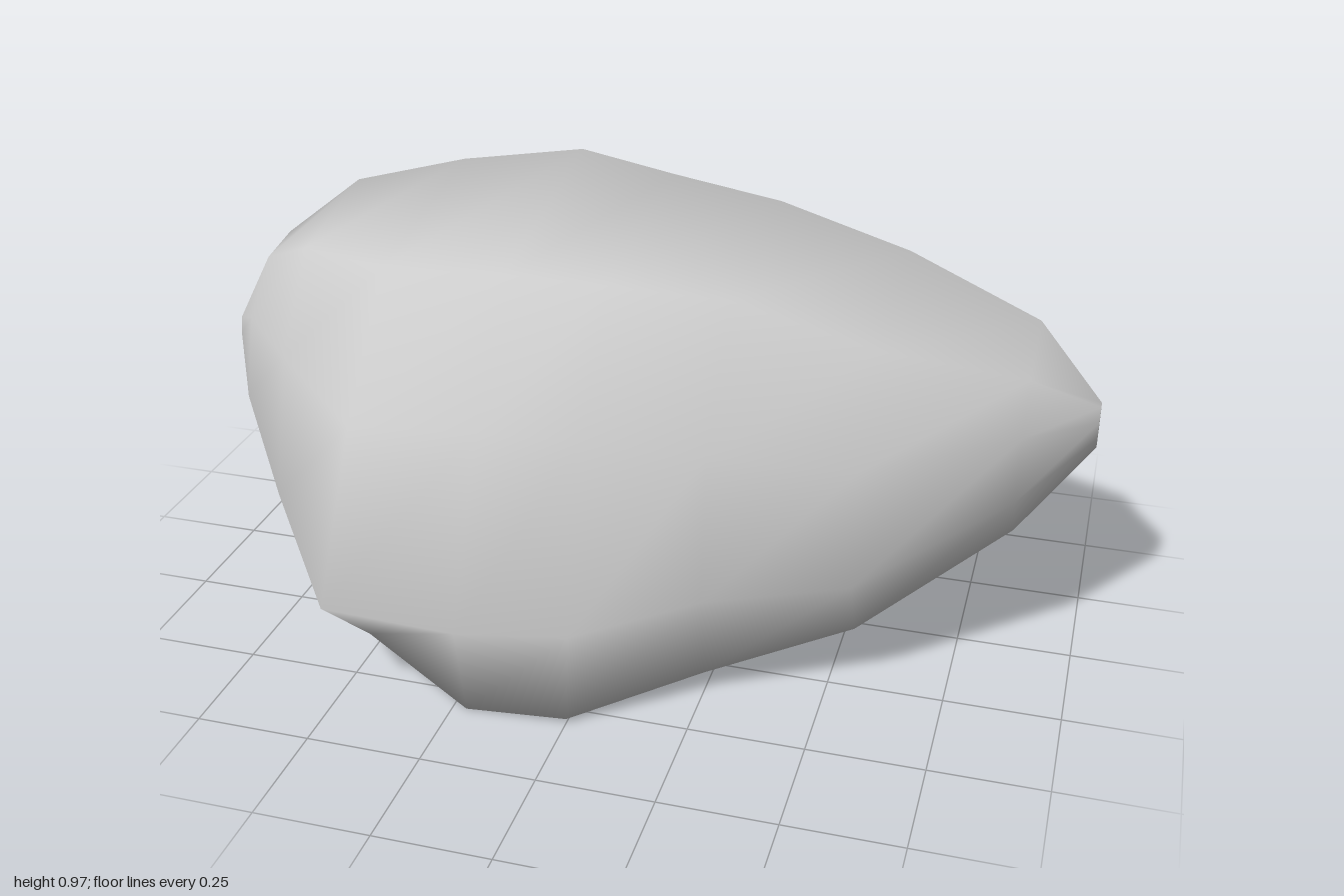
import * as THREE from 'three';

const SIDES = 8;

// Small rounded end ring, as [z, y] pairs in the same order as the sections
const endRing = (z, y, rz, ry) => Array.from({ length: SIDES }, (_, i) => {
  const a = (-60 + i * 45) * Math.PI / 180;
  return [z + rz * Math.cos(a), y + ry * Math.sin(a)];
});

// Cross-sections along x. Each ring runs: lower front, front bulge, upper front,
// top front, back ridge, upper back, back bulge, lower back.
const sections = [
  [-1, endRing(-0.12, 0.535, 0.08, 0.05)],
  [-0.93, [[-0.02, 0.33], [0.08, 0.42], [0.03, 0.6], [-0.08, 0.71], [-0.2, 0.73], [-0.28, 0.62], [-0.3, 0.48], [-0.2, 0.32]]],
  [-0.74, [[0.16, 0.19], [0.33, 0.32], [0.25, 0.62], [0.1, 0.82], [-0.2, 0.88], [-0.38, 0.68], [-0.45, 0.42], [-0.3, 0.15]]],
  [-0.5, [[0.42, 0.05], [0.64, 0.25], [0.45, 0.58], [0.23, 0.85], [-0.27, 0.93], [-0.48, 0.66], [-0.54, 0.38], [-0.36, 0.06]]],
  [-0.22, [[0.56, 0], [0.61, 0.22], [0.44, 0.6], [0.24, 0.87], [-0.3, 0.97], [-0.53, 0.6], [-0.64, 0.34], [-0.38, 0.05]]],
  [0, [[0.55, 0.01], [0.53, 0.2], [0.42, 0.6], [0.24, 0.87], [-0.3, 0.93], [-0.54, 0.6], [-0.62, 0.34], [-0.38, 0.05]]],
  [0.25, [[0.36, 0.05], [0.4, 0.25], [0.38, 0.58], [0.2, 0.85], [-0.3, 0.89], [-0.52, 0.6], [-0.59, 0.36], [-0.38, 0.06]]],
  [0.55, [[0.24, 0.14], [0.32, 0.29], [0.32, 0.56], [0.12, 0.74], [-0.28, 0.81], [-0.46, 0.62], [-0.53, 0.38], [-0.36, 0.1]]],
  [0.85, [[0.02, 0.31], [0.1, 0.42], [0.06, 0.55], [-0.04, 0.64], [-0.25, 0.69], [-0.3, 0.6], [-0.31, 0.46], [-0.2, 0.31]]],
  [1, endRing(-0.155, 0.5, 0.045, 0.05)],
];

// Skin the rings and close both ends, sharing vertices for smooth shading
function loft(rings) {
  const pos = [], index = [];
  for (const [x, ring] of rings) for (const [z, y] of ring) pos.push(x, y, z);
  const last = rings.length - 1;
  for (let i = 0; i < last; i++) {
    for (let j = 0; j < SIDES; j++) {
      const k = (j + 1) % SIDES;
      const a = i * SIDES + j, b = a + SIDES, c = (i + 1) * SIDES + k, d = i * SIDES + k;
      index.push(a, b, c, a, c, d);
    }
  }
  for (const i of [0, last]) {
    const [x, ring] = rings[i];
    const mid = pos.length / 3;
    const mean = (n) => ring.reduce((s, p) => s + p[n], 0) / SIDES;
    pos.push(x, mean(1), mean(0));
    for (let j = 0; j < SIDES; j++) {
      const a = i * SIDES + j, b = i * SIDES + (j + 1) % SIDES;
      index.push(mid, ...(i === 0 ? [a, b] : [b, a]));
    }
  }
  const geometry = new THREE.BufferGeometry();
  geometry.setAttribute('position', new THREE.Float32BufferAttribute(pos, 3));
  geometry.setIndex(index);
  geometry.computeVertexNormals();
  return geometry;
}

export function createModel() {
  const group = new THREE.Group();
  group.name = 'rock';
  const boulder = new THREE.Mesh(loft(sections), new THREE.MeshStandardMaterial({ color: 0xcccccc }));
  boulder.name = 'boulder';
  group.add(boulder);
  return group;
}
